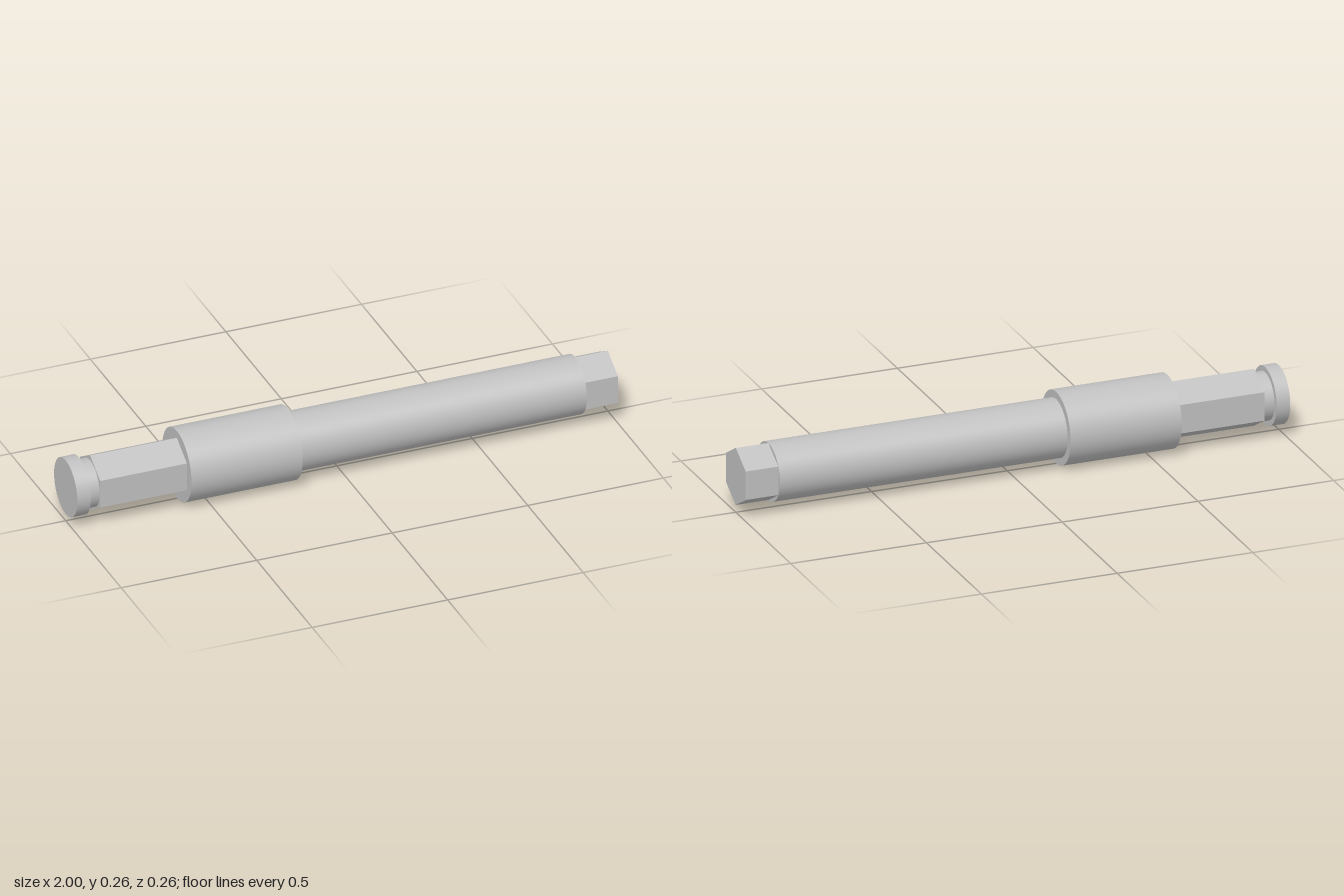
import * as THREE from 'three';

const AXIS_Y = 0.132; // height of the shared axis

export function createModel() {
  const group = new THREE.Group();
  const steel = new THREE.MeshStandardMaterial({ color: 0xc0c0c0 });
  steel.name = 'steel';

  // Solid section along x; six sides gives a faceted hexagon with a corner up
  function section(name, x0, x1, radius, sides = 96) {
    let geo = new THREE.CylinderGeometry(radius, radius, x1 - x0, sides, 1, false, Math.PI / 2);
    if (sides === 6) {
      geo = geo.toNonIndexed();
      geo.computeVertexNormals();
    }
    geo.rotateZ(-Math.PI / 2);
    const mesh = new THREE.Mesh(geo, steel);
    mesh.name = name;
    mesh.position.set((x0 + x1) / 2, AXIS_Y, 0);
    group.add(mesh);
  }

  section('endDisc', -1, -0.95, 0.105);
  section('retainingGroove', -0.95, -0.91, 0.086);
  section('hexShank', -0.91, -0.59, 0.105, 6);
  section('collar', -0.59, -0.18, 0.132);
  section('shaft', -0.18, 0.88, 0.105);
  section('hexTip', 0.88, 1, 0.105, 6);

  return group;
}
